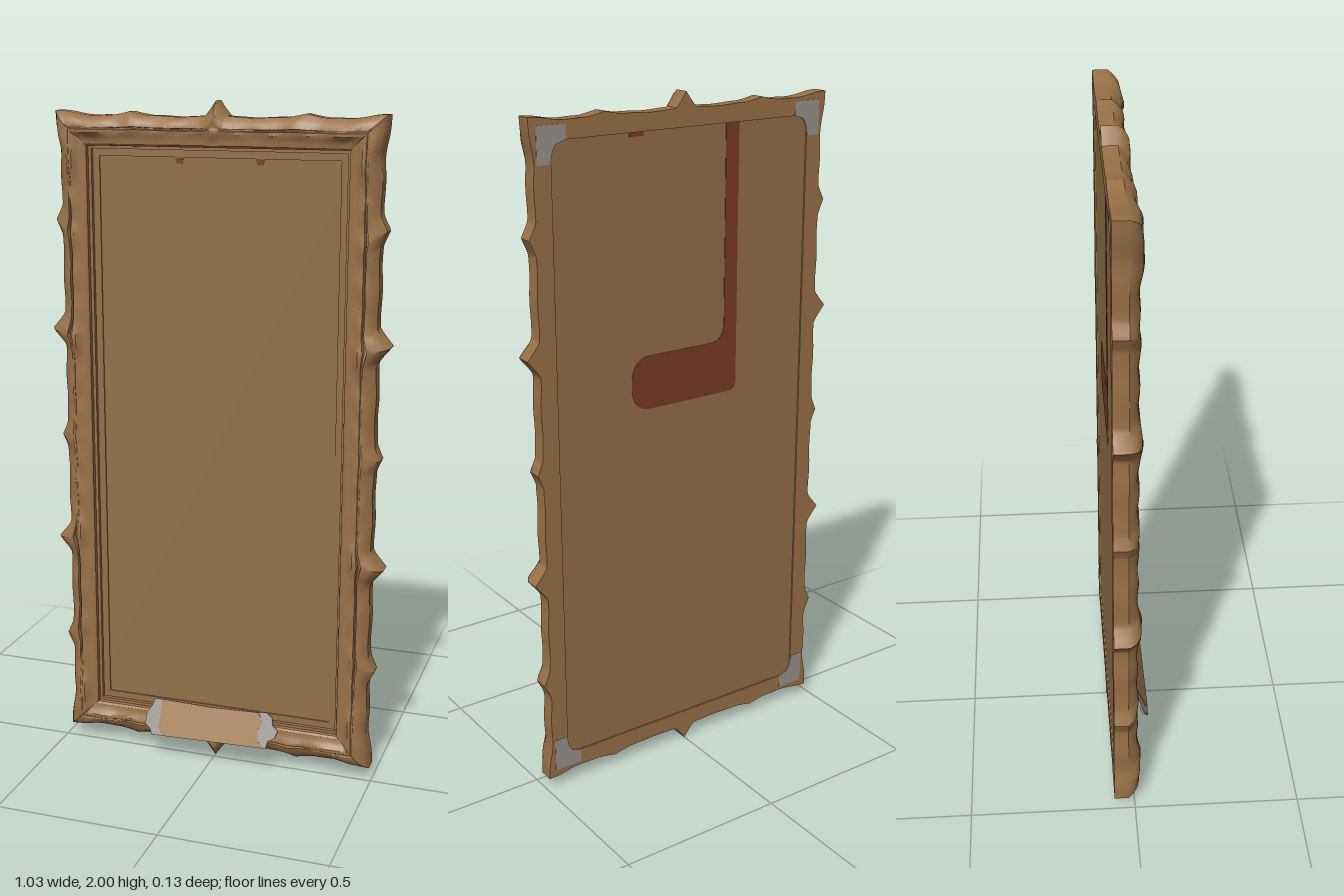
import * as THREE from 'three';
import { toCreasedNormals } from 'three/addons/utils/BufferGeometryUtils.js';

const mat = (name, color, side = THREE.FrontSide) => {
  const m = new THREE.MeshStandardMaterial({ color, side });
  m.name = name;
  return m;
};

// pointed carved bump of height h centred on c
const peak = (s, c, w, h) => h * Math.pow(Math.max(0, 1 - Math.abs(s - c) / w), 1.2);
const smooth = (a, b, x) => THREE.MathUtils.smoothstep(x, a, b);
const lerp = THREE.MathUtils.lerp;

// moulding section, inner edge to outer edge: [across 0..1, z, relief weight, groove weight]
const SECTION = [
  [0, -0.045, 0, 0], [0, -0.002, 0, 0], [0.07, 0.003, 0, 0], [0.2, 0.004, 0, 0],
  [0.32, 0.005, 0.5, 0], [0.44, 0.009, 1, 0], [0.54, 0.009, 1, 0],
  [0.56, 0.007, 1, 1], [0.6, 0.007, 1, 1], [0.62, 0.008, 1, 0], [0.76, 0.003, 1, 0],
  [0.9, -0.008, 0.7, 0], [1, -0.019, 0.1, 0], [1, -0.0625, 0, 0], [0.4, -0.0625, 0, 0], [0.4, -0.05, 0, 0],
];

// one mitred rail pointing along x with its outer edge towards +y
function railGeometry({ innerLen, outerLen, inner, outer, peaks, groove, steps }) {
  const pos = [], index = [], cols = SECTION.length;
  for (let i = 0; i <= steps; i++) {
    const t = (i / steps) * 2 - 1, s = t * outerLen, a = Math.abs(s);
    const toCorner = outerLen - a;
    const fade = smooth(0, 0.08, toCorner);
    let edge = 0.013 * (1 - smooth(0, 0.13, toCorner)) + fade * 0.0015 * Math.sin(a * 42);
    let relief = 0.012 * (1 - smooth(0.05, 0.2, toCorner)) * (0.55 + 0.45 * fade);
    for (const [c, w, h, lift] of peaks) {
      edge += peak(a, c, w, h);
      relief += lift * Math.exp(-Math.pow((a - c) / (w * 0.9), 2));
    }
    const slot = smooth(groove[0], groove[0] + 0.06, a) * (1 - smooth(groove[1] - 0.06, groove[1], a));
    for (const [w, z, r, g] of SECTION) {
      const ripple = fade * 0.002 * Math.sin(a * 55 + w * 9);
      pos.push(t * lerp(innerLen, outerLen, w), lerp(inner, outer, w) + edge * smooth(0.4, 1, w),
        Math.min(0.021, z + r * (relief + ripple)) - g * slot * 0.014);
    }
    // keep the mitre straight where the two rails meet
    if (i === 0 || i === steps) SECTION.forEach(([w], j) => {
      const k = (i * cols + j) * 3;
      pos[k + 1] = lerp(inner, outer + 0.013, w);
    });
  }
  for (let i = 0; i < steps; i++) for (let j = 0; j < cols - 1; j++) {
    const p = i * cols + j, q = p + cols;
    index.push(p, q, q + 1, p, q + 1, p + 1);
  }
  const geo = new THREE.BufferGeometry();
  geo.setAttribute('position', new THREE.Float32BufferAttribute(pos, 3));
  geo.setIndex(index);
  return toCreasedNormals(geo, 0.6);
}

const polygon = (pts) => new THREE.Shape(pts.map(([x, y]) => new THREE.Vector2(x, y)));
const rect = (x, y) => [[-x, -y], [x, -y], [x, y], [-x, y]];
const extrude = (shape, depth) =>
  new THREE.ExtrudeGeometry(shape, { depth, bevelEnabled: false, curveSegments: 10 });

// rectangular ring, outer half sizes and border width
function ring(x, y, border, depth) {
  const shape = polygon(rect(x, y));
  shape.holes.push(polygon(rect(x - border, y - border)));
  return extrude(shape, depth);
}

export function createModel() {
  const root = new THREE.Group();
  root.name = 'ornateFrame';
  const wood = mat('carvedWood', 0x9b7248);
  const board = mat('boardWood', 0x937047);
  const parchment = mat('plaqueWood', 0xa27a50);
  const metal = mat('greyMetal', 0x9a948e);
  const strap = mat('redLeather', 0x7a3a22, THREE.DoubleSide);

  const add = (parent, name, geo, material, x = 0, y = 0, z = 0) => {
    const mesh = new THREE.Mesh(geo, material);
    mesh.name = name;
    mesh.position.set(x, y, z);
    parent.add(mesh);
    return mesh;
  };

  // carved moulding: two short and two long rails
  const shortRail = railGeometry({
    innerLen: 0.39, outerLen: 0.49, inner: 0.871, outer: 0.955, steps: 120, groove: [0.06, 0.34],
    peaks: [[0, 0.035, 0.045, 0.007], [0.26, 0.06, 0.014, 0.004]],
  });
  const longRail = railGeometry({
    innerLen: 0.871, outerLen: 0.968, inner: 0.39, outer: 0.477, steps: 240, groove: [0.28, 0.76],
    peaks: [[0, 0.04, 0.018, 0.003], [0.33, 0.05, 0.037, 0.012], [0.655, 0.045, 0.019, 0.003]],
  });
  ['topRail', 'leftRail', 'bottomRail', 'rightRail'].forEach((name, i) => {
    const rail = add(root, name, i % 2 ? longRail : shortRail, wood, 0, 1, 0);
    rail.rotation.z = [0, -1, 2, 1][i] * Math.PI / 2;
  });

  // stepped inner fillet and the board
  add(root, 'outerFillet', ring(0.392, 0.873, 0.011, 0.03), wood, 0, 1, -0.047);
  add(root, 'innerFillet', ring(0.382, 0.863, 0.022, 0.018), board, 0, 1, -0.047);
  add(root, 'board', new THREE.BoxGeometry(0.87, 1.82, 0.025), board, 0, 1, -0.0455);

  // hanging strap on the back: long band with a wide rounded tab
  const band = new THREE.Shape();
  band.moveTo(-0.183, 1.905);
  band.lineTo(-0.183, 1.15);
  band.quadraticCurveTo(-0.183, 1.122, -0.155, 1.122);
  band.lineTo(0.13, 1.122);
  band.quadraticCurveTo(0.175, 1.13, 0.182, 1.18);
  band.lineTo(0.182, 1.22);
  band.quadraticCurveTo(0.175, 1.272, 0.13, 1.28);
  band.lineTo(-0.09, 1.28);
  band.quadraticCurveTo(-0.138, 1.28, -0.138, 1.33);
  band.lineTo(-0.138, 1.905);
  add(root, 'backStrap', extrude(band, 0.002), strap, 0, 0, -0.0592);
  add(root, 'strapEnd', new THREE.BoxGeometry(0.045, 0.014, 0.002), strap, 0.16, 1.9, -0.0582);
  for (const x of [-0.115, 0.125]) {
    const tip = polygon([[-0.013, 0.01], [-0.008, -0.008], [0.01, -0.008], [0.013, 0.01]]);
    add(root, 'strapTip', extrude(tip, 0.0015), strap, x, 1.832, -0.033);
  }

  // grey corner brackets on the back
  for (const sx of [-1, 1]) for (const sy of [-1, 1]) {
    const pts = [[0.468, 0.945], [0.38, 0.945], [0.38, 0.905], [0.41, 0.895],
      [0.42, 0.88], [0.428, 0.845], [0.468, 0.845]].map(([x, y]) => [x * sx, y * sy]);
    add(root, 'cornerBracket', extrude(polygon(pts), 0.004), metal, 0, 1, -0.0635);
  }

  // tilted plaque with scrolled grey ends
  const plaque = new THREE.Group();
  plaque.name = 'plaque';
  plaque.position.set(0, 0.127, 0.04);
  plaque.rotation.x = -0.37;
  root.add(plaque);
  const body = [[-0.15, -0.056], [0.185, -0.047], [0.16, -0.03], [0.155, 0.01],
    [0.17, 0.03], [0.15, 0.058], [0, 0.053], [-0.165, 0.056], [-0.16, 0.03], [-0.165, -0.03]];
  add(plaque, 'plaqueBody', extrude(polygon(body), 0.008), parchment, 0, 0, -0.004);
  const leftEnd = [[0.14, -0.046], [0.185, -0.046], [0.19, -0.025], [0.21, -0.012], [0.217, 0.012],
    [0.2, 0.025], [0.195, 0.048], [0.175, 0.062], [0.145, 0.058]];
  const rightEnd = [[-0.14, 0.056], [-0.185, 0.056], [-0.195, 0.03], [-0.208, 0.01],
    [-0.21, -0.025], [-0.192, -0.04], [-0.185, -0.057], [-0.14, -0.056]];
  add(plaque, 'plaqueLeftEnd', extrude(polygon(leftEnd), 0.007), metal, 0, 0, -0.0045);
  add(plaque, 'plaqueRightEnd', extrude(polygon(rightEnd), 0.007), metal, 0, 0, -0.0045);
  return root;
}
